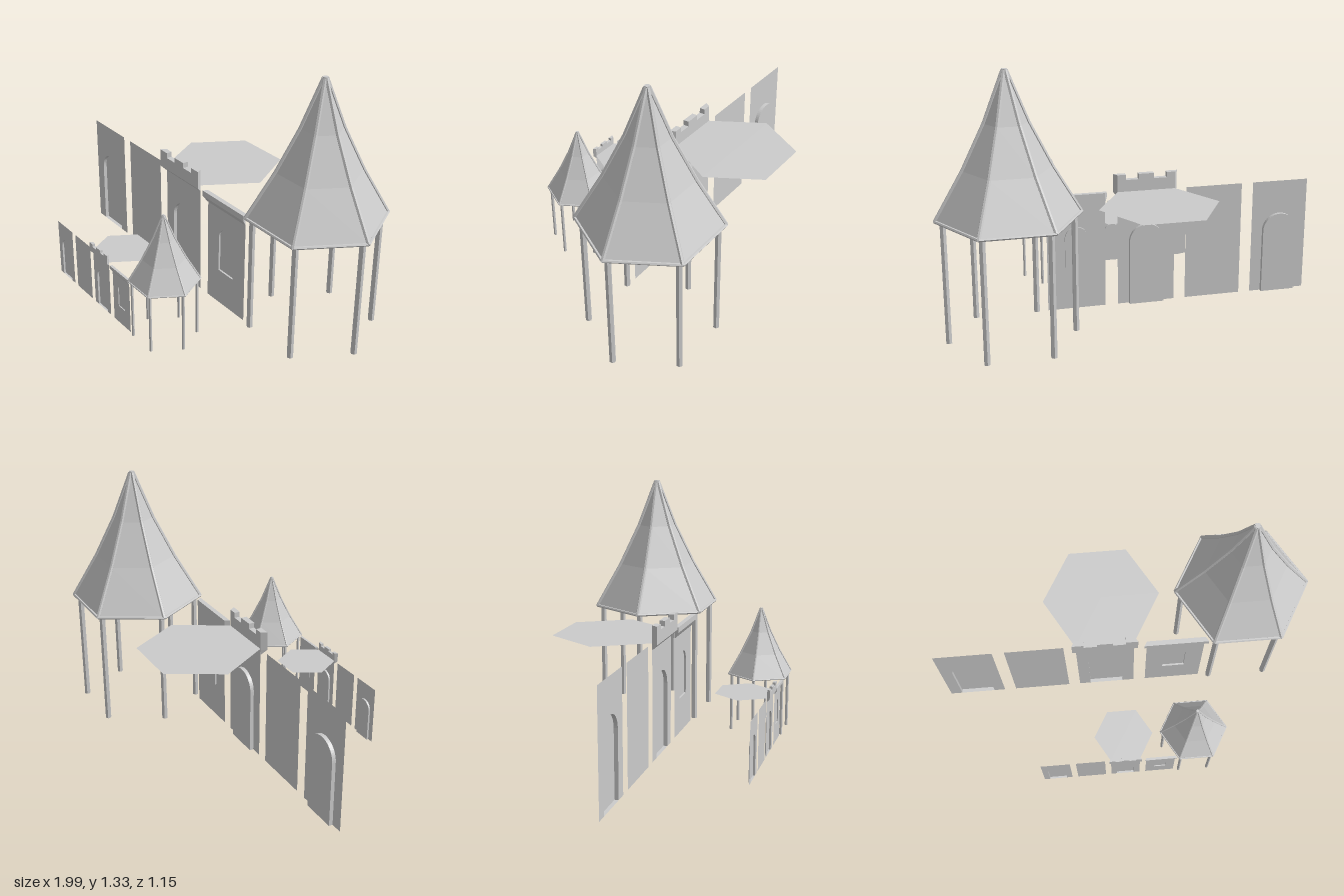
import * as THREE from 'three';

const mat = new THREE.MeshStandardMaterial({ color: 0xcccccc, flatShading: true, side: THREE.DoubleSide });
const TAN30 = Math.tan(Math.PI / 6);
const HEIGHT = 0.62, SIDE = 0.307;

function add(parent, name, geometry) {
  const mesh = new THREE.Mesh(geometry, mat);
  mesh.name = name;
  parent.add(mesh);
  return mesh;
}

// Round-topped outline of an opening
function arch(path, x, w, y0, y1) {
  const r = w / 2;
  path.moveTo(x - r, y0);
  path.lineTo(x + r, y0);
  path.lineTo(x + r, y1 - r);
  path.absarc(x, y1 - r, r, 0, Math.PI, false);
  path.lineTo(x - r, y0);
  return path;
}

// Thin wall panel, optionally with a recessed arched opening
function wall(parent, name, x0, opening) {
  const g = new THREE.Group();
  g.name = name;
  parent.add(g);
  const x1 = x0 + SIDE, cx = (x0 + x1) / 2;
  const s = new THREE.Shape();
  s.moveTo(x0, 0);
  s.lineTo(x1, 0);
  s.lineTo(x1, HEIGHT);
  s.lineTo(x0, HEIGHT);
  if (opening) {
    const { w, y0, y1, depth, part } = opening;
    s.holes.push(arch(new THREE.Path(), cx, w, y0, y1));
    const outline = arch(new THREE.Shape(), cx, w, y0, y1);
    add(g, part + 'Back', new THREE.ShapeGeometry(outline)).position.z = -depth;
    // Reveal joining the panel to the recessed back
    const pts = outline.getPoints(12), pos = [], idx = [];
    pts.forEach((p, i) => {
      pos.push(p.x, p.y, 0, p.x, p.y, -depth);
      if (i) idx.push(2 * i - 2, 2 * i - 1, 2 * i, 2 * i, 2 * i - 1, 2 * i + 1);
    });
    const reveal = new THREE.BufferGeometry();
    reveal.setAttribute('position', new THREE.Float32BufferAttribute(pos, 3));
    reveal.setIndex(idx);
    reveal.computeVertexNormals();
    add(g, part + 'Reveal', reveal);
  }
  add(g, 'panel', new THREE.ShapeGeometry(s));
  return g;
}

// Block on the wall face; left/right ends are mitred for 120 degree corners
function block(x0, x1, y0, y1, depth, mitreL = true, mitreR = true) {
  const t = depth * TAN30;
  const s = new THREE.Shape();
  s.moveTo(x0, 0);
  s.lineTo(x0 - (mitreL ? t : 0), -depth);
  s.lineTo(x1 + (mitreR ? t : 0), -depth);
  s.lineTo(x1, 0);
  const geo = new THREE.ExtrudeGeometry(s, { depth: y1 - y0, bevelEnabled: false });
  return geo.rotateX(-Math.PI / 2).translate(0, y0, 0);
}

// Sloping corbel: a mitred block whose bottom tapers back to the wall
function corbel(x0, x1, y0, y1, depth) {
  const geo = block(x0, x1, y0, y1, depth), p = geo.attributes.position;
  for (let i = 0; i < p.count; i++) {
    if (p.getY(i) > (y0 + y1) / 2) continue;
    p.setX(i, THREE.MathUtils.clamp(p.getX(i), x0, x1));
    p.setZ(i, Math.min(p.getZ(i), 0.004));
  }
  geo.computeVertexNormals();
  return geo;
}

// Bar between two points
function bar(a, b, r) {
  const d = b.clone().sub(a);
  const geo = new THREE.CylinderGeometry(r, r, d.length(), 6);
  geo.applyQuaternion(new THREE.Quaternion().setFromUnitVectors(new THREE.Vector3(0, 1, 0), d.normalize()));
  return geo.translate((a.x + b.x) / 2, (a.y + b.y) / 2, (a.z + b.z) / 2);
}

const polar = (r, y, i) =>
  new THREE.Vector3(r * Math.cos(i * Math.PI / 3), y, r * Math.sin(i * Math.PI / 3));

// Six-sided spire with ribs and eaves, standing on corner posts
function spire() {
  const g = new THREE.Group();
  g.name = 'spire';
  const profile = [[0.349, 0.624], [0.212, 0.86], [0.104, 1.08], [0.008, 1.326]];
  const skin = new THREE.LatheGeometry(profile.map(([r, y]) => new THREE.Vector2(r, y)), 6);
  add(g, 'roof', skin.rotateY(Math.PI / 6).toNonIndexed());
  add(g, 'ceiling', new THREE.CircleGeometry(0.349, 6).rotateX(Math.PI / 2)).position.y = HEIGHT;
  for (let i = 0; i < 6; i++) {
    for (let k = 0; k < 3; k++) {
      const [[r0, y0], [r1, y1]] = [profile[k], profile[k + 1]];
      add(g, 'rib', bar(polar(r0, y0, i), polar(r1, y1, i), 0.01));
    }
    add(g, 'eave', bar(polar(0.35, 0.624, i), polar(0.35, 0.624, i + 1), 0.008));
    const c = polar(0.314, HEIGHT / 2, i);
    const post = new THREE.CylinderGeometry(0.016, 0.016, HEIGHT, 6);
    add(g, 'post', post).position.copy(c);
  }
  add(g, 'tip', new THREE.CylinderGeometry(0.014, 0.017, 0.025, 6)).position.y = 1.32;
  return g;
}

// Full set of tower parts
function towerKit(name) {
  const kit = new THREE.Group();
  kit.name = name;
  const door = { part: 'door', w: 0.185, y0: 0, y1: 0.44, depth: 0.02 };

  wall(kit, 'doorWall', -1, door);
  wall(kit, 'plainWall', -0.63);

  // Battlement wall
  const xa = -0.261, xb = xa + SIDE, d = 0.03, t = d * TAN30;
  const keep = wall(kit, 'battlementWall', xa, door);
  add(keep, 'corbel', corbel(xa, xb, 0.588, 0.615, d));
  add(keep, 'parapet', block(xa, xb, 0.615, 0.682, d));
  add(keep, 'merlon', block(xa, xa - t + 0.062, 0.682, 0.71, d, true, false));
  add(keep, 'merlon', block(-0.147, -0.067, 0.682, 0.71, d, false, false));
  add(keep, 'merlon', block(xb + t - 0.062, xb, 0.682, 0.71, d, false, true));

  // Window wall with cornice
  const xc = 0.112, xd = xc + SIDE;
  const win = wall(kit, 'windowWall', xc, { part: 'window', w: 0.12, y0: 0.195, y1: 0.45, depth: 0.01 });
  add(win, 'corbel', corbel(xc, xd, 0.557, 0.59, 0.026));
  add(win, 'cornice', block(xc, xd, 0.59, HEIGHT, 0.026));

  // Flat hexagonal floor
  const floor = add(kit, 'floor', new THREE.CircleGeometry(SIDE, 6).rotateX(-Math.PI / 2));
  floor.position.set(-0.107, HEIGHT, -0.266);

  const roof = spire();
  roof.position.set(0.635, 0, -0.266);
  kit.add(roof);
  return kit;
}

export function createModel() {
  const model = new THREE.Group();
  model.name = 'towerParts';
  model.add(towerKit('largeKit'));
  const small = towerKit('smallKit');
  small.scale.setScalar(0.5);
  small.position.set(0.008, 0.038, 0.55);
  model.add(small);
  return model;
}
